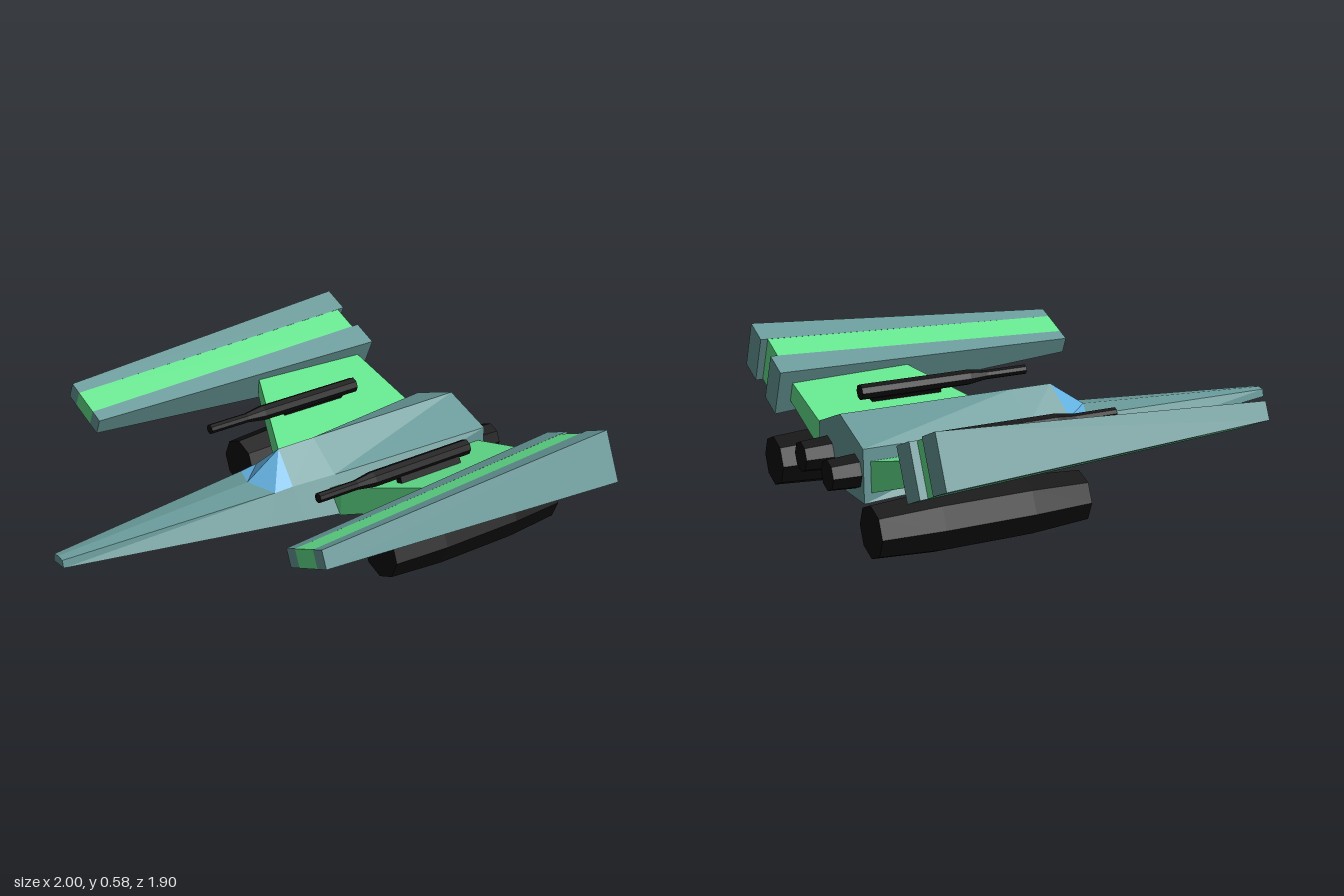
import * as THREE from 'three';

const mat = (name, color) => {
  const m = new THREE.MeshStandardMaterial({ color });
  m.name = name;
  return m;
};

// Joins rings of points into a closed, flat-faced solid; paint(ring, side) picks a material slot
function loft(rings, paint = () => 0) {
  const pos = [], slots = [];
  const tri = (a, b, c, slot) => { pos.push([a, b, c]); slots.push(slot); };
  const n = rings[0].length;
  for (let i = 0; i < rings.length - 1; i++) {
    for (let j = 0; j < n; j++) {
      const k = (j + 1) % n, A = rings[i], B = rings[i + 1], slot = paint(i, j);
      tri(A[j], A[k], B[k], slot);
      tri(A[j], B[k], B[j], slot);
    }
  }
  const last = rings[rings.length - 1];
  for (let j = 1; j < n - 1; j++) {
    tri(rings[0][0], rings[0][j + 1], rings[0][j], 0);
    tri(last[0], last[j], last[j + 1], 0);
  }
  // Turn the faces outward if the solid came out inverted
  let volume = 0;
  const v = (p) => new THREE.Vector3(...p);
  for (const [a, b, c] of pos) volume += v(a).dot(v(b).cross(v(c)));
  const geo = new THREE.BufferGeometry();
  const flat = pos.flatMap(([a, b, c]) => (volume < 0 ? [...a, ...c, ...b] : [...a, ...b, ...c]));
  geo.setAttribute('position', new THREE.Float32BufferAttribute(flat, 3));
  slots.forEach((s, i) => geo.addGroup(i * 3, 3, s));
  geo.computeVertexNormals();
  return geo;
}

// Round part along x from [x, radius] pairs, with corners straight up and sideways
const barrel = (stations, y, z, sides = 8) => loft(stations.map(([x, r]) =>
  Array.from({ length: sides }, (_, i) => {
    const a = (i / sides) * Math.PI * 2;
    return [x, y + r * Math.cos(a), z + r * Math.sin(a)];
  })));

export function createModel() {
  const grey = mat('greyTealHull', 0x699999);
  const green = mat('greenPanel', 0x64e48e);
  const black = mat('blackMetal', 0x0d0d0d);
  const blue = mat('blueGlass', 0x62b0e0);
  const model = new THREE.Group();
  model.name = 'starfighter';

  const add = (name, geo, material, parent = model) => {
    const mesh = new THREE.Mesh(geo, material);
    mesh.name = name;
    parent.add(mesh);
    return mesh;
  };

  // Fuselage: [bottom x, y, half width], [shoulder x, y, half width], [ridge x, y]
  const hull = [
    [[-1, 0.24, 0.036], [-1, 0.27, 0.03], [-1, 0.275]],
    [[-0.15, 0.19, 0.162], [-0.1, 0.304, 0.115], [-0.15, 0.318]],
    [[0, 0.182, 0.185], [-0.02, 0.31, 0.122], [0, 0.42]],
    [[0.17, 0.172, 0.21], [0.17, 0.314, 0.142], [0.17, 0.42]],
    [[0.89, 0.13, 0.21], [0.89, 0.34, 0.21], [0.89, 0.42]],
  ].map(([b, s, r]) => [
    [b[0], b[1], b[2]], [s[0], s[1], s[2]], [r[0], r[1], 0],
    [s[0], s[1], -s[2]], [b[0], b[1], -b[2]],
  ]);
  const isGlass = (i, j) => (i === 1 && (j === 1 || j === 2) ? 1 : 0);
  add('fuselageWithWindshield', loft(hull, isGlass), [grey, blue]);

  // Outer wing block frame: x, centre y and z, half length and half thickness
  const front = { x: -0.43, y: 0.423, z: 0.757, l: 0.1125, t: 0.036 };
  const rear = { x: 0.91, y: 0.4225, z: 0.752, l: 0.1715, t: 0.103 };
  const cos = 0.918, sin = 0.394;
  const wingRing = (f, x, u0, u1, s) =>
    [[u0, -1], [u1, -1], [u1, 1], [u0, 1]].map(([u, side]) => {
      const w = side * f.t;
      return [x, f.y + u * sin + w * cos, s * (f.z + u * cos - w * sin)];
    });

  for (const s of [1, -1]) {
    const side = new THREE.Group();
    side.name = s > 0 ? 'wingAssemblyA' : 'wingAssemblyB';
    model.add(side);

    // Sloping pylon from fuselage to outer wing
    const rib = (z, x0, x1, y0, y1) =>
      [[x0, y0, s * z], [x1, y0, s * z], [x1, y1, s * z], [x0, y1, s * z]];
    add('wingPylon', loft([
      rib(0.14, 0.13, 0.86, 0.15, 0.265),
      rib(0.21, 0.15, 0.86, 0.168, 0.29),
      rib(0.62, 0.345, 0.85, 0.315, 0.405),
    ]), green, side);

    // Outer wing: two grey rails with a green core between them
    const core = 0.057;
    for (const [name, sign] of [['outerRail', 1], ['innerRail', -1]]) {
      add(name, loft([front, rear].map((f) =>
        wingRing(f, f.x, sign * core, sign * f.l, s))), grey, side);
    }
    const coreRear = { ...rear, t: 0.101 };
    add('wingCore', loft([
      wingRing(front, front.x, -core, core, s),
      wingRing(coreRear, 0.88, -core, core, s),
    ]), green, side);

    // Large pod under the pylon
    add('underPod', barrel([[0.14, 0.1], [0.38, 0.116], [0.74, 0.116], [0.98, 0.1]], 0.12, s * 0.475), black, side);

    // Strut through the pylon, carrying the cannon
    const strut = (name, length, width, depth, x, y, z) => {
      const m = add(name, new THREE.BoxGeometry(length, depth, width), black, side);
      m.position.set(x, y, s * z);
      m.rotation.x = -s * 0.39;
    };
    strut('podStrut', 0.36, 0.08, 0.14, 0.56, 0.195, 0.443);
    strut('cannonStrut', 0.3, 0.03, 0.12, 0.45, 0.325, 0.39);
    add('cannon', barrel([[-0.08, 0.02], [0.1, 0.02], [0.18, 0.032], [0.655, 0.032]], 0.383, s * 0.363), black, side);

    // Tail engine nozzle
    add('tailEngine', barrel([[0.8, 0.067], [0.9, 0.067], [1, 0.06]], 0.235, s * 0.13), black, side);
  }
  return model;
}
